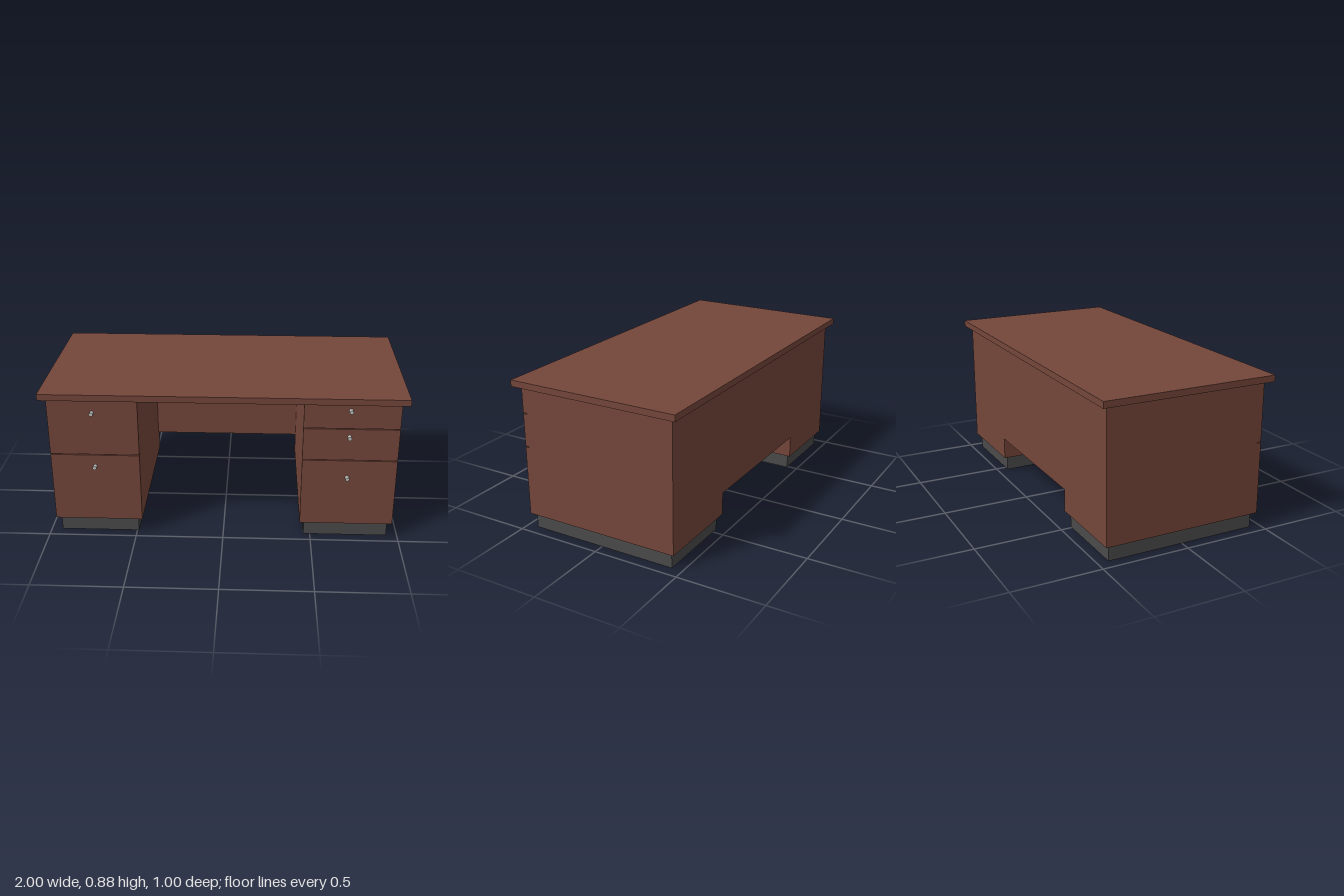
import * as THREE from 'three';

const wood = new THREE.MeshStandardMaterial({ color: 0x74463a });
wood.name = 'brown wood';
const plinthGrey = new THREE.MeshStandardMaterial({ color: 0x4a4a4a });
plinthGrey.name = 'dark grey plinth';
const metal = new THREE.MeshStandardMaterial({ color: 0xc0c0be });
metal.name = 'knob metal';

// Box given by its min and max on each axis
function block(name, material, [x0, x1], [y0, y1], [z0, z1]) {
  const mesh = new THREE.Mesh(new THREE.BoxGeometry(x1 - x0, y1 - y0, z1 - z0), material);
  mesh.position.set((x0 + x1) / 2, (y0 + y1) / 2, (z0 + z1) / 2);
  mesh.name = name;
  return mesh;
}

const BACK = -0.4625, CARCASS = 0.4375, FRONT = 0.4625, TIP = 0.49;
const BASE = 0.09, UNDER_TOP = 0.84, TOP = 0.876;

// Cabinet with a recessed plinth, drawer fronts and one knob per drawer
function pedestal(name, x, plinthX, knobX, drawers) {
  const group = new THREE.Group();
  group.name = name;
  group.add(block('plinth', plinthGrey, plinthX, [0, BASE], [-0.4375, 0.4375]));
  group.add(block('carcass', wood, x, [BASE, UNDER_TOP], [BACK, CARCASS]));
  const knobGeometry = new THREE.CylinderGeometry(0.011, 0.011, TIP - FRONT, 16).rotateX(Math.PI / 2);
  for (const { y, knobY } of drawers) {
    group.add(block('drawerFront', wood, x, y, [CARCASS, FRONT]));
    const knob = new THREE.Mesh(knobGeometry, metal);
    knob.position.set(knobX, knobY, (FRONT + TIP) / 2);
    knob.name = 'drawerKnob';
    group.add(knob);
  }
  return group;
}

export function createModel() {
  const desk = new THREE.Group();
  desk.name = 'desk';

  desk.add(block('desktop', wood, [-1, 1], [UNDER_TOP, TOP], [-0.5, 0.5]));

  // Two drawers on the right, three on the left
  desk.add(pedestal('rightPedestal', [-0.9625, -0.465], [-0.9375, -0.49], -0.715, [
    { y: [BASE, 0.498], knobY: 0.43 },
    { y: [0.503, 0.835], knobY: 0.757 },
  ]));
  desk.add(pedestal('leftPedestal', [0.4375, 0.9625], [0.4625, 0.9375], 0.69, [
    { y: [BASE, 0.491], knobY: 0.388 },
    { y: [0.496, 0.683], knobY: 0.638 },
    { y: [0.688, 0.835], knobY: 0.795 },
  ]));

  // Panel closing the back of the kneehole
  desk.add(block('modestyPanel', wood, [-0.465, 0.4375], [0.22, UNDER_TOP], [BACK, -0.425]));
  return desk;
}
